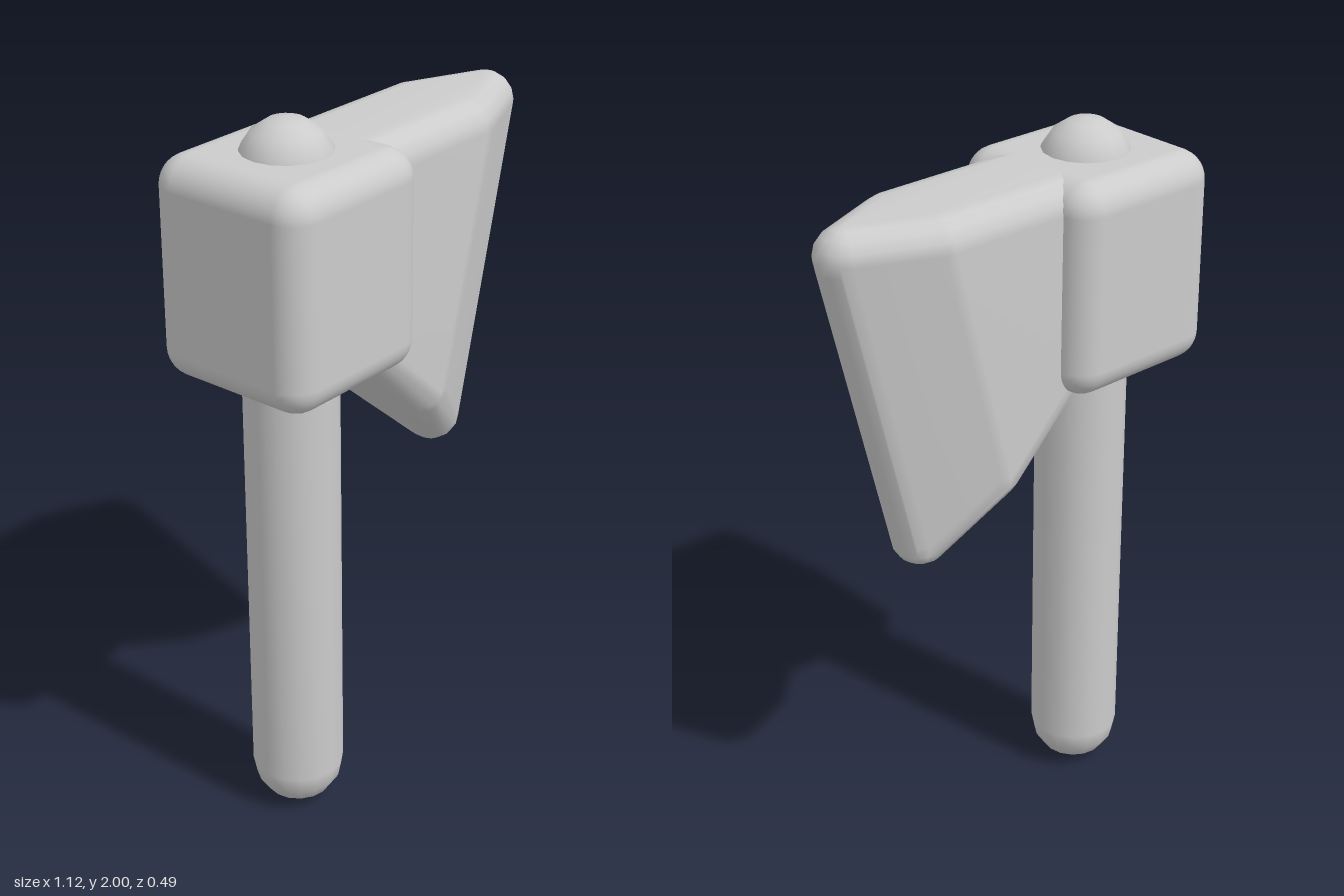
import * as THREE from 'three';
import { RoundedBoxGeometry } from 'three/addons/geometries/RoundedBoxGeometry.js';
import { ConvexGeometry } from 'three/addons/geometries/ConvexGeometry.js';
import { mergeVertices } from 'three/addons/utils/BufferGeometryUtils.js';

const HANDLE_X = -0.32;

// Smooth convex solid wrapped around equal spheres at the given centres
function roundedHull(centres, radius) {
  const ball = mergeVertices(new THREE.SphereGeometry(radius, 16, 8).deleteAttribute('uv').deleteAttribute('normal'));
  const pos = ball.attributes.position;
  const points = [];
  for (const c of centres) {
    for (let i = 0; i < pos.count; i++) {
      points.push(new THREE.Vector3().fromBufferAttribute(pos, i).add(c));
    }
  }
  const hull = mergeVertices(new ConvexGeometry(points).deleteAttribute('normal'), 1e-5);
  hull.computeVertexNormals();
  return hull;
}

export function createModel() {
  const group = new THREE.Group();
  const material = new THREE.MeshStandardMaterial({ color: 0xcccccc });
  const add = (name, geometry, x = 0, y = 0, z = 0) => {
    const mesh = new THREE.Mesh(geometry, material);
    mesh.name = name;
    mesh.position.set(x, y, z);
    group.add(mesh);
  };

  // Round-ended shaft running through the head
  add('handle', new THREE.CapsuleGeometry(0.126, 1.748, 4, 16), HANDLE_X, 1, 0);

  // Soft-edged block around the top of the shaft
  add('head', new RoundedBoxGeometry(0.485, 0.59, 0.486, 4, 0.08), -0.322, 1.62, 0);

  // Blade: a thick body that tapers to a rounded cutting edge
  const centres = [new THREE.Vector3(0.48, 1.834, 0), new THREE.Vector3(0.265, 0.98, 0)];
  const bodyOutline = [[-0.2, 1.834], [0.27, 1.834], [0.09, 1.155], [-0.2, 1.445]];
  for (const [x, y] of bodyOutline) {
    for (const side of [-1, 1]) centres.push(new THREE.Vector3(x, y, side * 0.09));
  }
  add('blade', roundedHull(centres, 0.08));

  return group;
}
